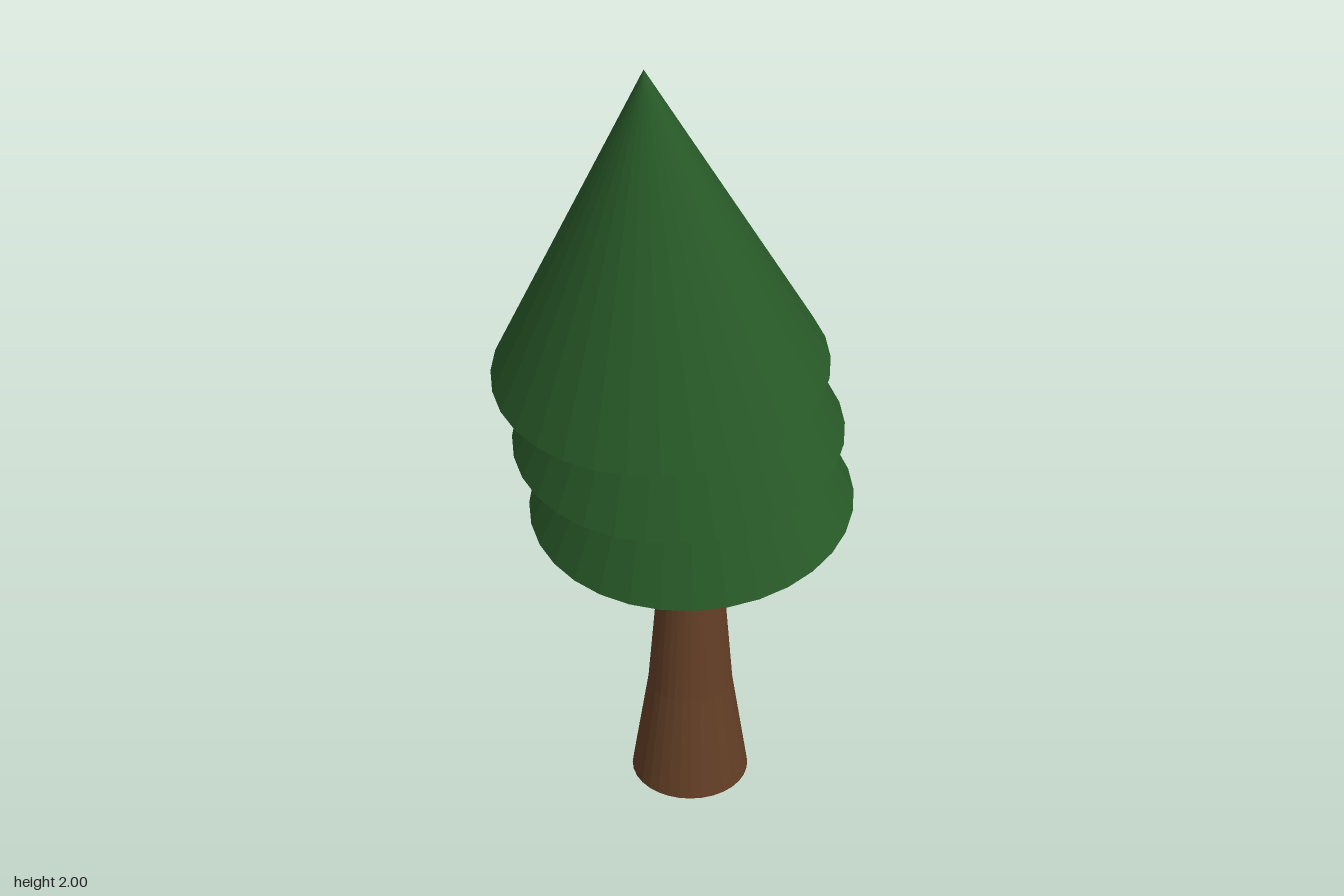
import * as THREE from 'three';

const SIDES = 32;

export function createModel() {
  const tree = new THREE.Group();
  tree.name = 'pineTree';

  const foliage = new THREE.MeshStandardMaterial({ color: 0x285a28 });
  foliage.name = 'foliageGreen';
  foliage.flatShading = true;
  const bark = new THREE.MeshStandardMaterial({ color: 0x643f26 });
  bark.name = 'barkBrown';
  bark.flatShading = true;

  // Flared trunk, its top hidden inside the lowest tier
  const profile = [[0.15, 0], [0.107, 0.28], [0.058, 0.87]].map(([r, y]) => new THREE.Vector2(r, y));
  const trunk = new THREE.Mesh(new THREE.LatheGeometry(profile, SIDES), bark);
  trunk.name = 'trunk';
  trunk.position.set(0.028, 0, -0.027);
  tree.add(trunk);

  // Green disc closing the foot of the trunk
  const foot = new THREE.Mesh(new THREE.CircleGeometry(0.15, SIDES), foliage);
  foot.name = 'trunkUnderside';
  foot.rotation.x = Math.PI / 2;
  foot.position.copy(trunk.position);
  tree.add(foot);

  // Three equal cones leaning forward; positions are their base centres
  const radius = 0.394, height = 0.786;
  const cone = new THREE.ConeGeometry(radius, height, SIDES).translate(0, height / 2, 0);
  const tiers = [
    ['lowerTier', 0.028, 0.826, -0.029],
    ['middleTier', 0.003, 1.036, 0.01],
    ['upperTier', -0.034, 1.225, 0.037],
  ];
  for (const [name, x, y, z] of tiers) {
    const tier = new THREE.Mesh(cone, foliage);
    tier.name = name;
    tier.position.set(x, y, z);
    tier.rotation.set(0.165, 0, 0.01);
    tree.add(tier);
  }

  return tree;
}
